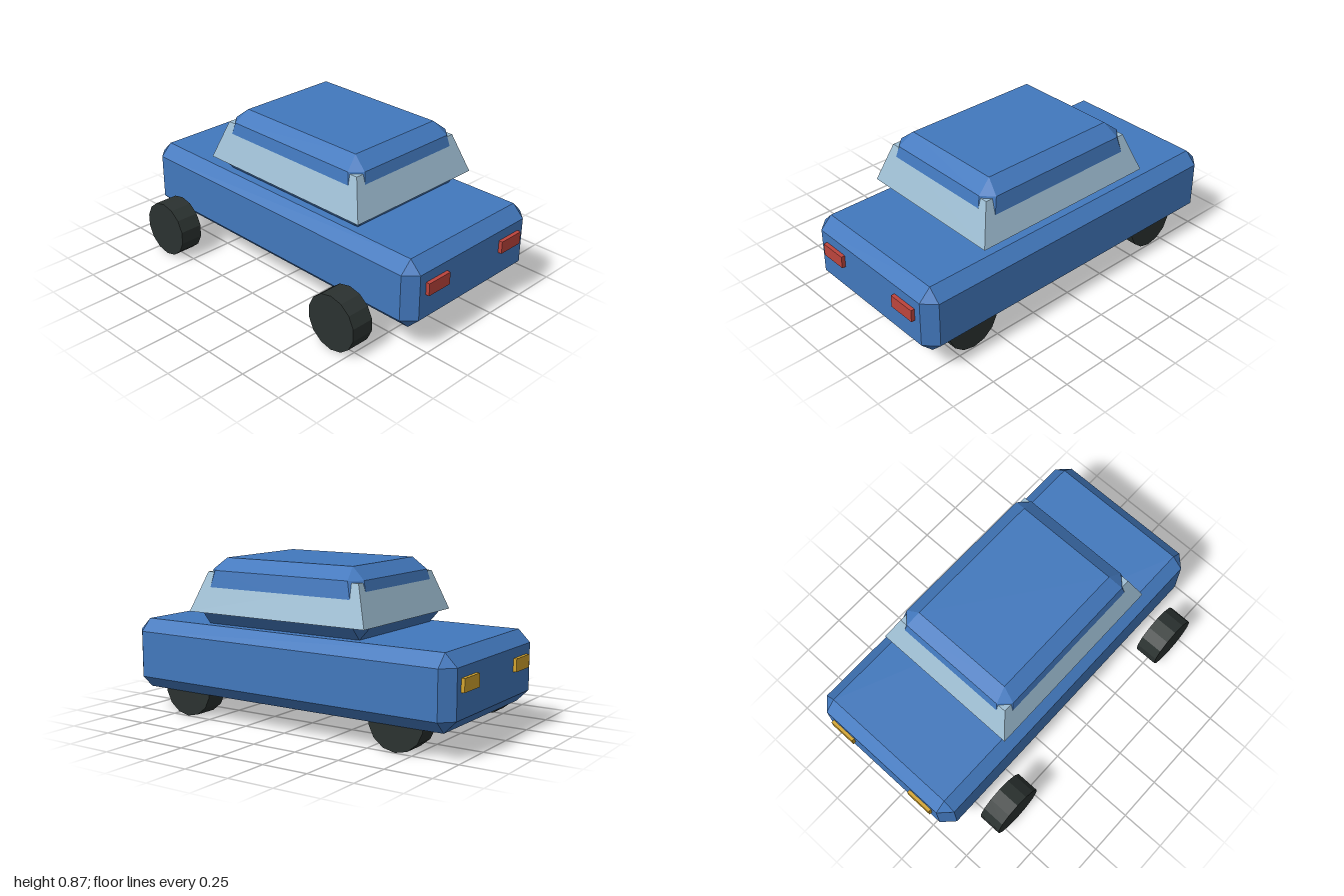
import * as THREE from 'three';
import { ConvexGeometry } from 'three/addons/geometries/ConvexGeometry.js';

const paint = (name, color) => {
  const m = new THREE.MeshStandardMaterial({ color });
  m.name = name;
  return m;
};

// Points of a level outline; cut > 0 clips its four corners
function outline(y, x0, x1, z0, z1, cut = 0) {
  const points = [];
  for (const [x, sx] of [[x0, 1], [x1, -1]]) {
    for (const [z, sz] of [[z0, 1], [z1, -1]]) {
      points.push(new THREE.Vector3(x + sx * cut, y, z));
      if (cut) points.push(new THREE.Vector3(x, y, z + sz * cut));
    }
  }
  return points;
}

export function createModel() {
  const car = new THREE.Group();
  car.name = 'car';
  const blue = paint('blue paint', 0x4278bd);
  const glass = paint('pale window glass', 0x9fbfd4);
  const rubber = paint('dark rubber', 0x2b3230);
  const red = paint('red light', 0xbc443c);
  const amber = paint('amber light', 0xd4a52e);

  const add = (name, geometry, material, x = 0, y = 0, z = 0) => {
    const mesh = new THREE.Mesh(geometry, material);
    mesh.name = name;
    mesh.position.set(x, y, z);
    car.add(mesh);
  };
  const hull = (...levels) => new ConvexGeometry(levels.flat());

  // Lower body: a box with every edge bevelled
  const b = 0.065;
  add('body', hull(
    outline(0.134, -0.982 + b, 0.979 - b, -0.563 + b, 0.366 - b),
    outline(0.134 + b, -0.982, 0.979, -0.563, 0.366, b),
    outline(0.515 - b, -0.982, 0.979, -0.563, 0.366, b),
    outline(0.515, -0.982 + b, 0.979 - b, -0.563 + b, 0.366 - b)
  ), blue);

  // Cabin: bevelled and narrowing towards the roof
  add('cabin', hull(
    outline(0.514, -0.419, 0.526, -0.445, 0.254),
    outline(0.58, -0.478, 0.583, -0.503, 0.312, 0.06),
    outline(0.802, -0.42, 0.529, -0.464, 0.272, 0.058),
    outline(0.865, -0.342, 0.449, -0.387, 0.196)
  ), blue);

  // Window band: a square-cornered taper around the cabin
  add('windows', hull(
    outline(0.582, -0.495, 0.6, -0.524, 0.331),
    outline(0.792, -0.418, 0.526, -0.453, 0.267)
  ), glass);

  // Wheels
  const wheel = new THREE.CylinderGeometry(0.154, 0.154, 0.13, 14).toNonIndexed();
  wheel.rotateX(Math.PI / 2);
  wheel.computeVertexNormals();
  for (const x of [-0.655, 0.652]) {
    for (const z of [-0.431, 0.5]) add('wheel', wheel, rubber, x, 0.154, z);
  }

  // Lights at both ends
  const lamp = new THREE.BoxGeometry(0.04, 0.068, 0.154);
  for (const z of [-0.381, 0.181]) {
    add('headlight', lamp, amber, -0.98, 0.363, z);
    add('tailLight', lamp, red, 0.98, 0.363, z);
  }
  return car;
}
